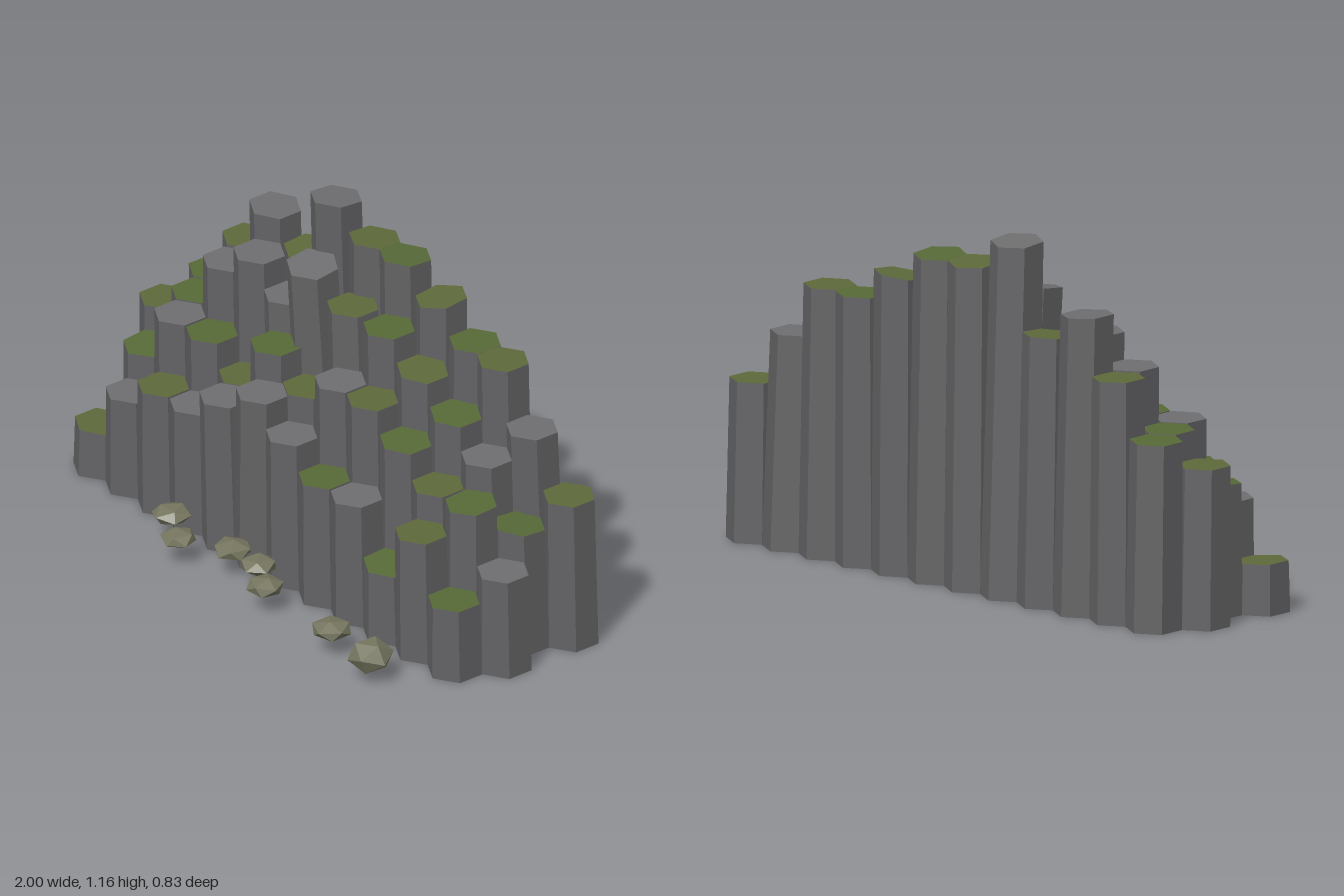
import * as THREE from 'three';

const PITCH = 0.16, BASE_R = 0.0924, TOP_R = 0.0872;

// Rows from back to front: first x, z, heights in steps of 0.09, and cap kind (m = moss, s = bare stone)
const ROWS = [
  { x: -0.84, z: -0.323, steps: [5, 7, 9, 8, 11, 10, 10, 9, 8, 8, 6, 4], caps: 'mmsmsmmmmmsm' },
  { x: -0.92, z: -0.184, steps: [4, 5, 7, 8, 7, 9, 8, 8, 7, 6, 5, 3], caps: 'mmssssmmmmsm' },
  { x: -0.84, z: -0.046, steps: [3, 5, 5, 4, 6, 5, 6, 6, 5, 4, 4, 2], caps: 'msmmmmsmmmms' },
  { x: -0.92, z: 0.093, steps: [0, 2, 3, 3, 4, 5, 4, 3, 3, 1, 3, 1], caps: 'msmssssmsmmm' },
];

// Columns that lean or have a slanted top: [shift x, shift z, slope x, slope z]
const LEANS = {
  '0-1': [0, 0.005, -0.03, 0],
  '0-2': [-0.008, 0.02, -0.06, 0],
  '0-3': [-0.01, 0.008, 0, -0.06],
  '0-4': [0.005, 0.045, 0.02, 0.08],
  '0-5': [0.008, 0.02, 0, 0.07],
  '0-6': [0, 0.02, 0, 0.07],
  '0-7': [0, 0.005, 0.1, -0.1],
  '0-8': [0.008, 0.005, 0, 0],
  '0-10': [-0.005, 0.025, 0, 0],
  '1-3': [-0.01, 0.012, 0, 0],
  '1-4': [-0.022, 0.01, 0, 0],
  '1-5': [-0.03, 0.042, -0.08, -0.12],
  '1-6': [-0.025, 0.012, 0, 0],
  '1-8': [0, 0.01, -0.1, 0],
  '1-9': [0.005, 0.01, -0.08, 0],
  '1-11': [0, 0.01, -0.04, 0.08],
  '2-0': [0, 0.005, 0, -0.08],
  '2-8': [-0.005, 0.005, -0.06, 0],
  '2-10': [0, 0.005, 0, -0.05],
  '3-0': [0, 0, -0.05, 0],
  '3-4': [-0.01, 0.01, 0, 0],
  '3-5': [0.012, 0.01, 0, 0],
  '3-9': [0, 0.005, -0.07, -0.05],
};

const stone = (color, side = THREE.FrontSide) =>
  new THREE.MeshStandardMaterial({ color, side, flatShading: true });

// Moves the vertices at the top of a column by its lean and slant
function leanTop(geo, height, [dx, dz, sx, sz]) {
  const p = geo.attributes.position;
  for (let i = 0; i < p.count; i++) {
    if (p.getY(i) < height * 0.9) continue;
    const x = p.getX(i), z = p.getZ(i);
    p.setXYZ(i, x + dx, height + sx * x + sz * z, z + dz);
  }
  geo.computeVertexNormals();
  return geo;
}

// Six-sided basalt column: a shaft open at the bottom and a flat cap
function makeColumn(height, lean, shaftMaterial, capMaterial) {
  const column = new THREE.Group();
  column.name = 'column';
  const shaftGeo = new THREE.CylinderGeometry(TOP_R, BASE_R, height, 6, 1, true);
  shaftGeo.translate(0, height / 2, 0);
  const shaft = new THREE.Mesh(leanTop(shaftGeo, height, lean), shaftMaterial);
  shaft.name = 'columnShaft';
  const capGeo = new THREE.CircleGeometry(TOP_R, 6, Math.PI / 2);
  capGeo.rotateX(-Math.PI / 2).translate(0, height, 0);
  const cap = new THREE.Mesh(leanTop(capGeo, height, lean), capMaterial);
  cap.name = 'columnCap';
  column.add(shaft, cap);
  return column;
}

export function createModel() {
  const model = new THREE.Group();
  model.name = 'basaltColumns';

  // Shafts and caps are open surfaces, so both sides show
  const shaftStone = stone(0x636365, THREE.DoubleSide);
  const bareTop = stone(0x6e6e70, THREE.DoubleSide);
  const moss = [stone(0x576a37, THREE.DoubleSide), stone(0x5d6a3b, THREE.DoubleSide)];

  // Staggered rows of columns
  ROWS.forEach((row, r) => {
    const group = new THREE.Group();
    group.name = `columnRow${r + 1}`;
    row.steps.forEach((step, i) => {
      const height = 0.165 + 0.09 * step;
      const lean = LEANS[`${r}-${i}`] || [0, 0.018 * height, 0, 0];
      const top = row.caps[i] === 'm' ? moss[(i + r) % 2] : bareTop;
      const column = makeColumn(height, lean, shaftStone, top);
      column.position.set(row.x + i * PITCH, 0, row.z);
      group.add(column);
    });
    model.add(group);
  });

  // Flattened rocks along the front: x, z, radius, half height
  const rocks = [
    [-0.41, 0.225, 0.068, 0.03], [-0.275, 0.31, 0.062, 0.029],
    [-0.107, 0.225, 0.068, 0.031], [0.027, 0.23, 0.064, 0.03],
    [0.15, 0.305, 0.064, 0.031], [0.505, 0.325, 0.07, 0.03],
    [0.72, 0.343, 0.077, 0.057],
  ];
  const rockMaterial = stone(0x75755f);
  rocks.forEach(([x, z, radius, half], i) => {
    const geo = new THREE.IcosahedronGeometry(1, 0);
    geo.rotateX(0.3 + i * 0.4).rotateY(i * 1.3);
    geo.scale(radius, half, radius);
    geo.computeVertexNormals();
    const rock = new THREE.Mesh(geo, rockMaterial);
    rock.name = 'rock';
    rock.position.set(x, 0.09, z);
    model.add(rock);
  });

  return model;
}
